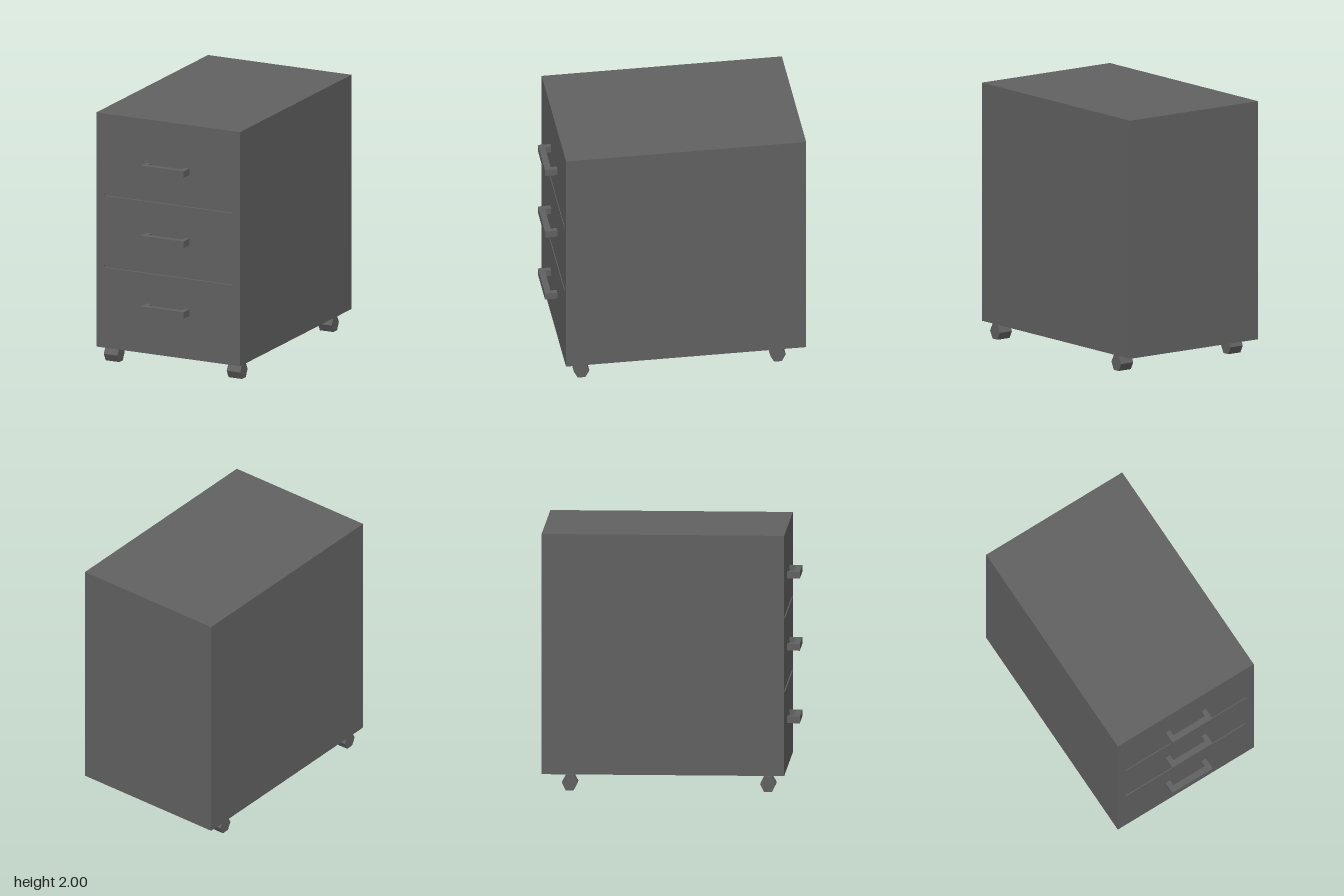
import * as THREE from 'three';

const material = new THREE.MeshStandardMaterial({ color: 0x616161, flatShading: true });

function addMesh(parent, name, geometry, x, y, z) {
  const mesh = new THREE.Mesh(geometry, material);
  mesh.name = name;
  mesh.position.set(x, y, z);
  parent.add(mesh);
  return mesh;
}

// Box given by its min and max along each axis
function addBox(parent, name, [x0, x1], [y0, y1], [z0, z1]) {
  const geometry = new THREE.BoxGeometry(x1 - x0, y1 - y0, z1 - z0);
  return addMesh(parent, name, geometry, (x0 + x1) / 2, (y0 + y1) / 2, (z0 + z1) / 2);
}

function rectangle(path, x0, x1, y0, y1) {
  path.moveTo(x0, y0);
  path.lineTo(x1, y0);
  path.lineTo(x1, y1);
  path.lineTo(x0, y1);
  path.closePath();
  return path;
}

export function createModel() {
  const model = new THREE.Group();
  model.name = 'drawerCabinet';

  const halfWidth = 0.623, bottom = 0.129, top = 2;
  const back = -0.984, front = 0.887, frameDepth = 0.02;
  const drawerHalf = 0.553;
  const drawers = [[0.238, 0.768], [0.793, 1.342], [1.364, 1.9]];
  const handleHeights = [0.502, 1.067, 1.628];

  // Cabinet body behind the front frame
  addBox(model, 'cabinetBody', [-halfWidth, halfWidth], [bottom, top], [back, front - frameDepth]);

  // Front frame around one tall opening
  const outline = rectangle(new THREE.Shape(), -halfWidth, halfWidth, bottom, top);
  outline.holes.push(rectangle(new THREE.Path(), -drawerHalf, drawerHalf, drawers[0][0], drawers[2][1]));
  const frame = new THREE.ExtrudeGeometry(outline, { depth: frameDepth, bevelEnabled: false });
  addMesh(model, 'frontFrame', frame, 0, 0, front - frameDepth);

  // U-shaped pull, shared by the drawers
  const pull = new THREE.Shape();
  pull.moveTo(-0.184, 0);
  pull.lineTo(-0.184, -0.097);
  pull.lineTo(0.184, -0.097);
  pull.lineTo(0.184, 0);
  pull.lineTo(0.144, 0);
  pull.lineTo(0.144, -0.048);
  pull.lineTo(-0.144, -0.048);
  pull.lineTo(-0.144, 0);
  pull.closePath();
  const pullHeight = 0.053;
  const pullGeometry = new THREE.ExtrudeGeometry(pull, { depth: pullHeight, bevelEnabled: false });
  pullGeometry.rotateX(-Math.PI / 2);

  // Drawer fronts flush with the frame, with shadow gaps between them
  drawers.forEach(([y0, y1], i) => {
    const drawer = new THREE.Group();
    drawer.name = 'drawer' + (i + 1);
    addBox(drawer, 'drawerFront', [-drawerHalf, drawerHalf], [y0, y1], [front - frameDepth, front]);
    addMesh(drawer, 'drawerHandle', pullGeometry, 0, handleHeights[i] - pullHeight / 2, front);
    model.add(drawer);
  });

  // Six-sided caster wheels under the corners
  const wheel = new THREE.CylinderGeometry(0.061, 0.061, 0.118, 6);
  wheel.rotateZ(Math.PI / 2);
  wheel.scale(1, 1.12, 1);
  for (const side of [-1, 1]) {
    addMesh(model, 'frontWheel', wheel, side * 0.533, 0.0592, 0.761);
    addMesh(model, 'backWheel', wheel, side * 0.533, 0.0592, -0.769);
  }

  return model;
}
